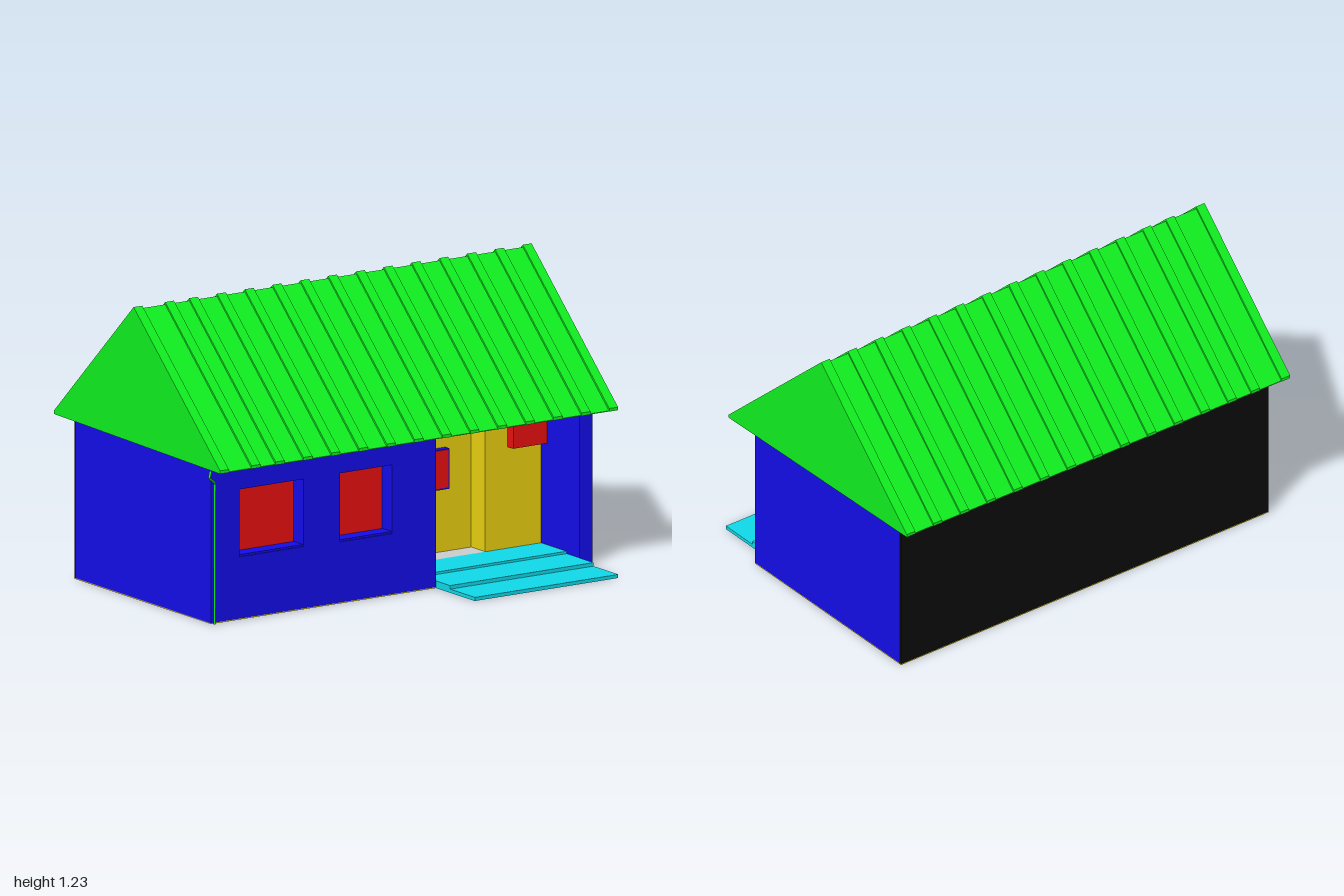
import * as THREE from 'three';

const mat = (color) => new THREE.MeshStandardMaterial({ color });

export function createModel() {
  const house = new THREE.Group();
  house.name = 'house';
  const blue = mat(0x140ce8), red = mat(0xe81010), yellow = mat(0xe8d010), cyan = mat(0x10d8e8);
  const green = mat(0x10f020), black = mat(0x0c0c0c), grey = mat(0xcccccc);

  const add = (name, geometry, material) => {
    const mesh = new THREE.Mesh(geometry, material);
    mesh.name = name;
    house.add(mesh);
    return mesh;
  };
  // Box given by its limits on each axis
  const box = (name, material, x0, x1, y0, y1, z0, z1) => {
    const g = new THREE.BoxGeometry(x1 - x0, y1 - y0, z1 - z0);
    g.translate((x0 + x1) / 2, (y0 + y1) / 2, (z0 + z1) / 2);
    return add(name, g, material);
  };
  const outline = (points) => new THREE.Shape(points.map(([a, b]) => new THREE.Vector2(a, b)));
  const rect = (x0, x1, y0, y1) => [[x0, y0], [x1, y0], [x1, y1], [x0, y1]];
  // Side profile of [z, y] points, extruded along x
  const alongX = (name, material, points, x0, x1) => {
    const g = new THREE.ExtrudeGeometry(outline(points), { depth: x1 - x0, bevelEnabled: false });
    g.rotateY(-Math.PI / 2).translate(x1, 0, 0);
    return add(name, g, material);
  };
  // Upright wall with rectangular openings
  const wall = (name, material, rectangle, openings, z0, z1) => {
    const s = outline(rect(...rectangle));
    openings.forEach((o) => s.holes.push(outline(rect(...o))));
    const g = new THREE.ExtrudeGeometry(s, { depth: z1 - z0, bevelEnabled: false });
    return add(name, g.translate(0, 0, z0), material);
  };

  const L = -0.915, R = 0.96, F = 0.39, B = -0.575, TOP = 0.653, BASE = 0.004;
  const P0 = 0.19, P1 = 0.895, PZ = 0.12; // porch limits

  // Floor slab, notched around the porch
  const plan = outline([[L, -F], [P0, -F], [P0, -PZ], [P1, -PZ], [P1, -F], [R, -F], [R, -B], [L, -B]]);
  const slab = new THREE.ExtrudeGeometry(plan, { depth: BASE, bevelEnabled: false });
  add('floor', slab.rotateX(-Math.PI / 2), yellow);

  // Outer walls
  const windows = [[-0.775, -0.46, 0.26, 0.54], [-0.28, -0.025, 0.255, 0.54]];
  wall('frontWall', blue, [L, P0, BASE, TOP], windows, F - 0.07, F);
  box('leftWall', blue, L, L + 0.065, BASE, TOP, B + 0.01, F - 0.07);
  box('rightWall', blue, P1, R, BASE, TOP, B + 0.01, F);
  box('porchSideWall', blue, P0 - 0.065, P0, BASE, TOP, PZ, F - 0.07);
  box('backWall', black, L, R, BASE, TOP, B, B + 0.01);

  // Window panes set back in their openings
  for (const [x0, x1, y0, y1] of windows) {
    box('windowPane', red, x0 - 0.01, x1 + 0.01, y0 - 0.01, y1 + 0.01, F - 0.085, F - 0.07);
    box('windowSill', blue, x0, x1, y0, y0 + 0.008, F - 0.07, F - 0.005);
  }

  // Porch wall with the door
  wall('porchWall', yellow, [P0, P1, BASE, TOP], [[0.245, 0.62, 0.03, 0.54]], 0.02, PZ);
  box('door', yellow, 0.235, 0.63, 0.02, 0.55, 0, 0.02);
  box('threshold', grey, 0.245, 0.62, 0.03, 0.04, 0.02, PZ);
  box('doorWindowFrame', blue, 0.37, 0.493, 0.305, 0.472, 0.02, 0.05);
  box('doorWindowPane', red, 0.373, 0.487, 0.312, 0.469, 0.05, 0.053);
  box('wallBox', red, 0.73, P1, 0.46, 0.615, PZ, PZ + 0.04);

  // Porch steps
  alongX('steps', cyan, [[PZ, 0], [0.665, 0], [0.665, 0.015], [0.49, 0.015], [0.49, 0.03],
    [0.3, 0.03], [0.3, 0.04], [PZ, 0.04]], P0, P1);

  // Ceiling wedge under the roof
  alongX('ceiling', cyan, [[F, TOP], [F, 0.656], [B, 0.672], [B, TOP]], L, R);

  // Roof body and raised ribs
  const roofProfile = (inset, lift) => [[0.512 - inset, 0.652], [0.512 - inset, 0.655 + lift],
    [-0.1, 1.215 + lift], [-0.665 + inset, 0.675 + lift], [-0.665 + inset, 0.672]];
  alongX('roof', green, roofProfile(0.002, 0), -0.953, 0.998);
  for (let i = 0; i < 15; i++) {
    const x = i === 1 ? -0.8 : -0.955 + i * 0.1366;
    alongX('roofRib', green, roofProfile(0, 0.01), x, x + 0.043);
  }

  // Drainpipe at the front left corner
  const path = new THREE.CurvePath();
  const bends = [[-0.911, 0.002, 0.409], [-0.911, 0.59, 0.411], [-0.994, 0.636, 0.492], [-0.975, 0.656, 0.473]]
    .map((p) => new THREE.Vector3(...p));
  for (let i = 1; i < bends.length; i++) path.add(new THREE.LineCurve3(bends[i - 1], bends[i]));
  add('drainpipe', new THREE.TubeGeometry(path, 90, 0.005, 8), green);

  return house;
}
